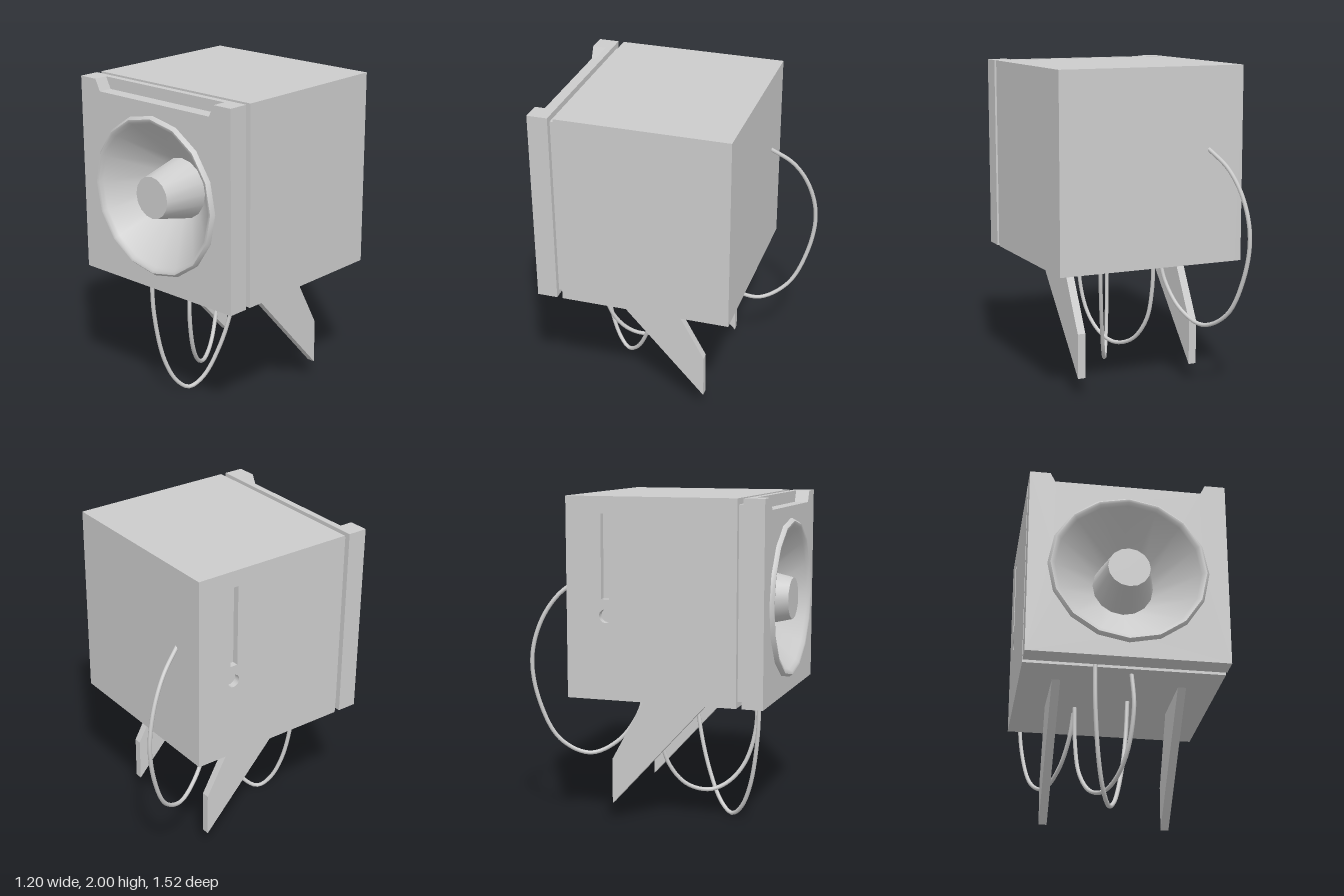
import * as THREE from 'three';
import { toCreasedNormals } from 'three/addons/utils/BufferGeometryUtils.js';

const CY = 1.375; // height of the horn axis

export function createModel() {
  const group = new THREE.Group();
  const material = new THREE.MeshStandardMaterial({ color: 0xcccccc });

  const add = (name, geometry) => {
    const mesh = new THREE.Mesh(geometry, material);
    mesh.name = name;
    group.add(mesh);
    return mesh;
  };
  const polygon = (pts) => new THREE.Shape(pts.map(([x, y]) => new THREE.Vector2(x, y)));
  const rect = (x0, x1, y0, y1) => polygon([[x0, y0], [x1, y0], [x1, y1], [x0, y1]]);
  const circle = (x, y, r) => new THREE.Path().absarc(x, y, r, 0, Math.PI * 2, true);
  const extrude = (shape, depth) =>
    new THREE.ExtrudeGeometry(shape, { depth, bevelEnabled: false, curveSegments: 16 });

  // Slab facing +z with a round opening for the horn
  const slab = (name, shape, z0, z1, hole) => {
    shape.holes.push(circle(0, CY, hole));
    add(name, extrude(shape, z1 - z0)).position.z = z0;
  };

  // Cabinet: solid rear, open front section, side panel with slot and socket
  const rear = add('cabinet', new THREE.BoxGeometry(1.16, 1.2, 0.92));
  rear.position.set(0.02, 1.4, -0.01);
  slab('cabinetFront', rect(-0.6, 0.6, 0.8, 2), 0.45, 0.575, 0.3);

  const side = rect(-0.45, 0.47, 0.8, 2); // drawn in (-z, y)
  side.holes.push(polygon([[0.2, 1.4], [0.2, 1.9], [0.25, 1.9], [0.25, 1.4]]));
  side.holes.push(circle(0.225, 1.3, 0.04));
  const panel = add('sidePanel', extrude(side, 0.04));
  panel.rotation.y = Math.PI / 2;
  panel.position.x = -0.6;

  // Recessed neck between cabinet and front plate
  slab('neck', rect(-0.565, 0.565, 0.835, 1.965), 0.56, 0.62, 0.37);

  // Front plate with a notch along its top edge
  slab('frontPlateBack', rect(-0.6, 0.6, 0.8, 2), 0.61, 0.65, 0.42);
  slab('frontPlate', polygon([
    [-0.6, 0.8], [0.6, 0.8], [0.6, 2], [0.475, 2],
    [0.44, 1.93], [-0.44, 1.93], [-0.475, 2], [-0.6, 2],
  ]), 0.65, 0.735, 0.46);

  // Horn with rolled rim, and the tapered plug in its middle
  const lathe = (name, pts, crease) => {
    const profile = pts.map(([r, z]) => new THREE.Vector2(r, z));
    const mesh = add(name, toCreasedNormals(new THREE.LatheGeometry(profile, 16), crease));
    mesh.rotation.x = Math.PI / 2;
    mesh.position.y = CY;
  };
  lathe('horn', [
    [0.483, 0.72], [0.483, 0.742], [0.467, 0.76], [0.45, 0.757], [0.437, 0.735], [0.18, 0.5],
  ], 0.9);
  lathe('plug', [[0.187, 0.495], [0.127, 0.757], [0, 0.757]], 0.6);

  // Two raked legs, profile drawn in (-z, y)
  for (const [name, x] of [['leftLeg', 0.355], ['rightLeg', -0.405]]) {
    const shape = polygon([[-0.366, 0.8], [0.265, 0.11], [0.265, 0.39], [0.04, 0.8]]);
    const leg = add(name, extrude(shape, 0.05));
    leg.rotation.y = Math.PI / 2;
    leg.position.x = x;
  }

  // Hanging cables: each lies in an upright plane x = x0 + slope * z
  const cable = (name, x0, slope, pts) => {
    const path = new THREE.CatmullRomCurve3(
      pts.map(([z, y]) => new THREE.Vector3(x0 + slope * z, y, z)));
    add(name, new THREE.TubeGeometry(path, 64, 0.013, 8));
  };
  cable('rearCable', -0.165, 0.45, [
    [-0.45, 1.51], [-0.6, 1.39], [-0.7, 1.22], [-0.747, 1.0], [-0.71, 0.74],
    [-0.6, 0.5], [-0.43, 0.405], [-0.27, 0.48], [-0.16, 0.64], [-0.11, 0.82],
  ]);
  cable('middleCable', -0.205, 0.51, [
    [0.5, 0.82], [0.52, 0.58], [0.46, 0.33], [0.36, 0.2], [0.25, 0.157],
    [0.12, 0.205], [0.02, 0.35], [-0.02, 0.55], [-0.03, 0.82],
  ]);
  cable('frontCable', 0.15, -0.55, [
    [0.6, 0.85], [0.592, 0.55], [0.54, 0.23], [0.47, 0.07], [0.4, 0.016],
    [0.32, 0.07], [0.22, 0.27], [0.145, 0.54], [0.11, 0.82],
  ]);

  return group;
}
